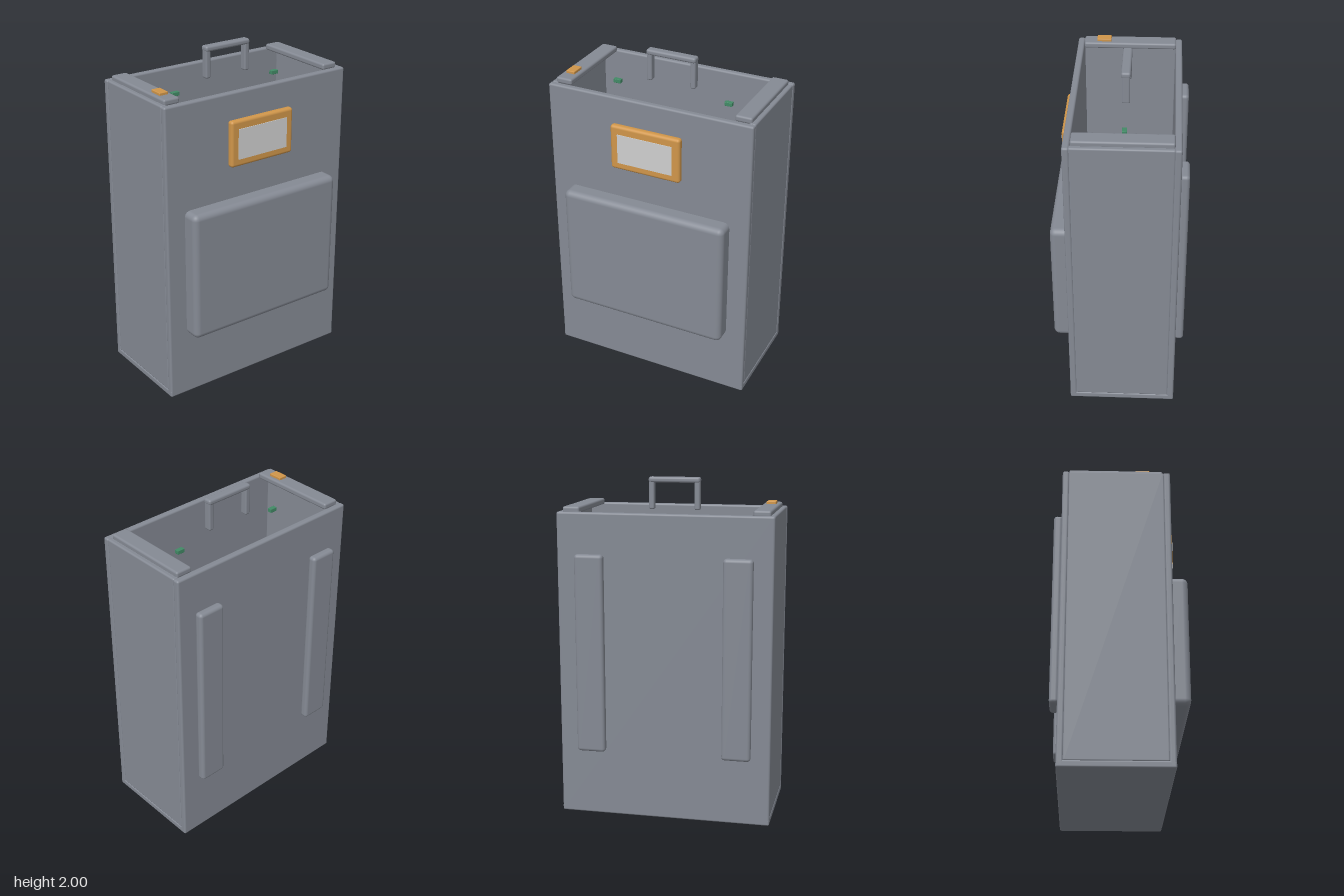
import * as THREE from 'three';
import { RoundedBoxGeometry } from 'three/addons/geometries/RoundedBoxGeometry.js';

const paint = (name, color) => {
  const m = new THREE.MeshStandardMaterial({ color });
  m.name = name;
  return m;
};

export function createModel() {
  const grey = paint('slate grey', 0x858a94);
  const orange = paint('amber orange', 0xd0964a);
  const green = paint('circuit green', 0x428a66);
  const white = paint('pale grey', 0xcfcfcf);

  const model = new THREE.Group();
  model.name = 'equipmentCase';

  // Box given by its limits on each axis; a radius above 0 rounds the edges
  function box(name, material, [x0, x1], [y0, y1], [z0, z1], r = 0) {
    const size = [x1 - x0, y1 - y0, z1 - z0];
    const geometry = r > 0 ? new RoundedBoxGeometry(...size, 3, r) : new THREE.BoxGeometry(...size);
    const mesh = new THREE.Mesh(geometry, material);
    mesh.name = name;
    mesh.position.set((x0 + x1) / 2, (y0 + y1) / 2, (z0 + z1) / 2);
    model.add(mesh);
    return mesh;
  }
  // Limits along x for side s (-1 or 1)
  const side = (s, a, b) => (s > 0 ? [a, b] : [-b, -a]);

  // Open-topped shell
  box('bottomPanel', grey, [-0.63, 0.63], [0, 0.04], [-0.34, 0.29], 0.01);
  box('frontPanel', grey, [-0.63, 0.63], [0.005, 1.815], [0.25, 0.29], 0.012);
  box('backPanel', grey, [-0.63, 0.63], [0.005, 1.815], [-0.34, -0.30], 0.012);

  // Front pocket
  box('frontPocket', grey, [-0.512, 0.512], [0.4, 1.185], [0.24, 0.388], 0.035);

  // Display with its bezel
  box('displayBezel', orange, [-0.217, 0.217], [1.385, 1.66], [0.285, 0.329], 0.017);
  box('displayScreen', white, [-0.17, 0.17], [1.43, 1.61], [0.325, 0.333]);

  for (const s of [-1, 1]) {
    box('sidePanel', grey, side(s, 0.588, 0.628), [0.035, 1.815], [-0.305, 0.255], 0.01);
    box('rimPad', grey, side(s, 0.503, 0.603), [1.805, 1.842], [-0.303, 0.247], 0.012);
    box('backPad', grey, side(s, 0.348, 0.518), [0.4, 1.578], [-0.388, -0.335], 0.02);
    box('handleLeg', grey, side(s, 0.12, 0.153), [1.81, 1.985], [-0.05, -0.005], 0.01);
    box('statusLight', green, side(s, 0.33, 0.377), [1.745, 1.768], [-0.042, -0.015], 0.002);
  }

  // Carrying handle
  box('handleGrip', grey, [-0.154, 0.154], [1.967, 2], [-0.054, 0], 0.013);

  // Switch on the right rim pad
  box('rimSwitch', orange, [-0.581, -0.526], [1.838, 1.857], [0.087, 0.172], 0.004);

  // Rails along the inside of the case
  for (const z of [[-0.281, -0.255], [0.198, 0.22]]) {
    box('innerRail', orange, [-0.59, 0.59], [0.035, 0.065], z);
  }

  // Circuit boards with their chips, and the battery resting on them
  box('circuitBoard', green, [-0.408, -0.166], [0.035, 0.06], [-0.181, -0.035]);
  box('circuitChip', grey, [-0.365, -0.209], [0.055, 0.08], [-0.159, -0.058]);
  box('circuitBoard', green, [0.108, 0.344], [0.035, 0.06], [-0.186, -0.077]);
  box('circuitChip', grey, [0.19, 0.261], [0.055, 0.08], [-0.166, -0.096]);
  box('battery', white, [-0.178, 0.176], [0.06, 0.145], [-0.245, -0.16], 0.016);

  return model;
}
